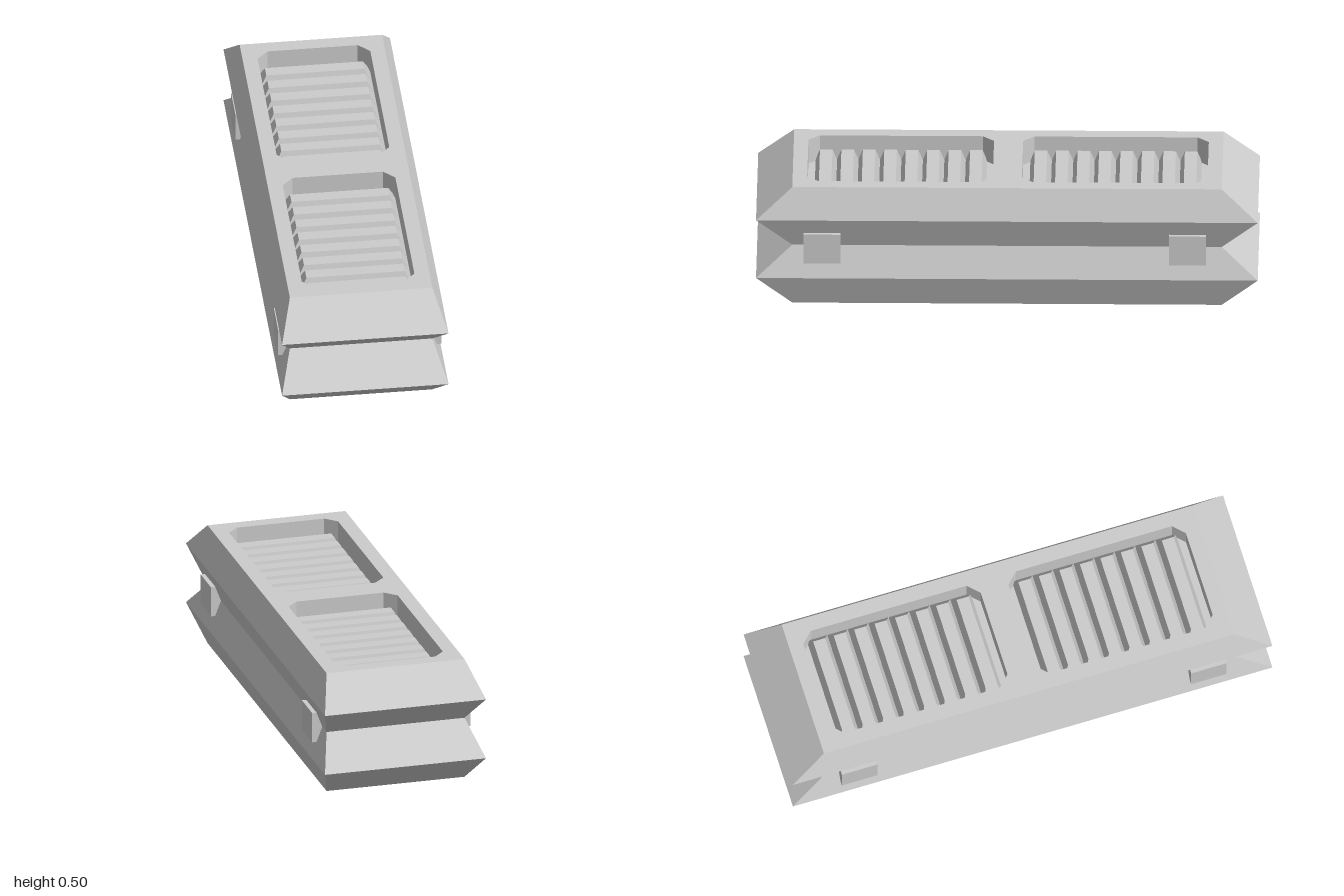
import * as THREE from 'three';

const solid = new THREE.MeshStandardMaterial({ color: 0xcccccc, flatShading: true });
const thin = new THREE.MeshStandardMaterial({ color: 0xcccccc, flatShading: true, side: THREE.DoubleSide });

const TOP = 0.503, HOLE_X = 0.226, HOLE_Z = 0.37, HOLE_MID = 0.428, CHAMFER = 0.045;

// Rectangle and chamfered rectangle outlines, counter-clockwise from above, as [x, z]
const rect = (a, b) => [[-a, b], [a, b], [a, -b], [-a, -b]];
const octagon = (a, b, c) => [
  [-a + c, b], [a - c, b], [a, b - c], [a, -b + c],
  [a - c, -b], [-a + c, -b], [-a, -b + c], [-a, b - c],
];

// Flat-faced skin through a stack of outlines: [{ y, pts }], lowest first
function loft(rings, capped) {
  const pos = [];
  const tri = (...ps) => ps.forEach(([p, y]) => pos.push(p[0], y, p[1]));
  for (let k = 0; k < rings.length - 1; k++) {
    const { y: y0, pts: lo } = rings[k], { y: y1, pts: hi } = rings[k + 1];
    lo.forEach((p, i) => {
      const j = (i + 1) % lo.length;
      tri([p, y0], [lo[j], y0], [hi[j], y1]);
      tri([p, y0], [hi[j], y1], [hi[i], y1]);
    });
  }
  if (capped) {
    const b = rings[0], t = rings[rings.length - 1];
    for (let i = 1; i < b.pts.length - 1; i++) {
      tri([b.pts[0], b.y], [b.pts[i + 1], b.y], [b.pts[i], b.y]);
      tri([t.pts[0], t.y], [t.pts[i], t.y], [t.pts[i + 1], t.y]);
    }
  }
  const g = new THREE.BufferGeometry();
  g.setAttribute('position', new THREE.Float32BufferAttribute(pos, 3));
  g.computeVertexNormals();
  return g;
}

export function createModel() {
  const model = new THREE.Group();
  const add = (name, geometry, material, parent = model) => {
    const mesh = new THREE.Mesh(geometry, material);
    mesh.name = name;
    parent.add(mesh);
    return mesh;
  };

  // Folded side walls: two outward ridges, open underneath
  const inner = rect(0.286, 0.856), ridge = rect(0.334, 1);
  add('foldedWalls', loft([
    { y: 0, pts: inner }, { y: 0.127, pts: ridge }, { y: 0.252, pts: inner },
    { y: 0.378, pts: ridge }, { y: TOP, pts: inner },
  ], false), thin);

  // Top plate with two chamfered openings
  const toVec = (pts, dz = 0) => pts.map(([x, z]) => new THREE.Vector2(x, -(z + dz)));
  const hole = octagon(HOLE_X, HOLE_Z, CHAMFER);
  const plate = new THREE.Shape(toVec(inner));
  for (const s of [-1, 1]) plate.holes.push(new THREE.Path(toVec(hole, s * HOLE_MID)));
  const plateMesh = add('topPlate', new THREE.ShapeGeometry(plate), thin);
  plateMesh.rotation.x = -Math.PI / 2;
  plateMesh.position.y = TOP;

  // Louvred vents sunk into the openings, their slats tall and steep-sided
  const slatGeometry = loft([
    { y: -0.055, pts: rect(0.197, 0.025) },
    { y: 0, pts: rect(HOLE_X, 0.0425) },
    { y: 0.055, pts: rect(0.197, 0.025) },
  ], true);
  const ledge = new THREE.Shape(toVec(hole));
  ledge.holes.push(new THREE.Path(toVec(rect(HOLE_X - 0.005, 0.335))));
  const ledgeGeometry = new THREE.ShapeGeometry(ledge);
  for (const s of [-1, 1]) {
    const vent = new THREE.Group();
    vent.name = s > 0 ? 'frontVent' : 'rearVent';
    vent.position.z = s * HOLE_MID;
    model.add(vent);
    add('ventWall', loft([{ y: 0.4, pts: hole }, { y: TOP, pts: hole }], false), thin, vent);
    const ledgeMesh = add('ventLedge', ledgeGeometry, thin, vent);
    ledgeMesh.rotation.x = -Math.PI / 2;
    ledgeMesh.position.y = 0.4;
    for (let i = 0; i < 8; i++) {
      add('slat', slatGeometry, solid, vent).position.set(0, 0.4, (i - 3.5) * 0.0855);
    }
  }

  // Hollow blocks pushed through the side walls, closed on the outside
  const blockEnd = rect(0.0625, 0.074);
  const blockGeometry = loft([
    { y: 0, pts: blockEnd }, { y: 0.145, pts: blockEnd }, { y: 0.145, pts: rect(0, 0) },
  ], false);
  for (const sx of [-1, 1]) {
    for (const z of [-0.72, 0.737]) {
      const block = add(sx > 0 ? 'leftBlock' : 'rightBlock', blockGeometry, thin);
      block.rotation.z = -sx * Math.PI / 2;
      block.position.set(sx * 0.183, 0.252, z);
    }
  }
  return model;
}
